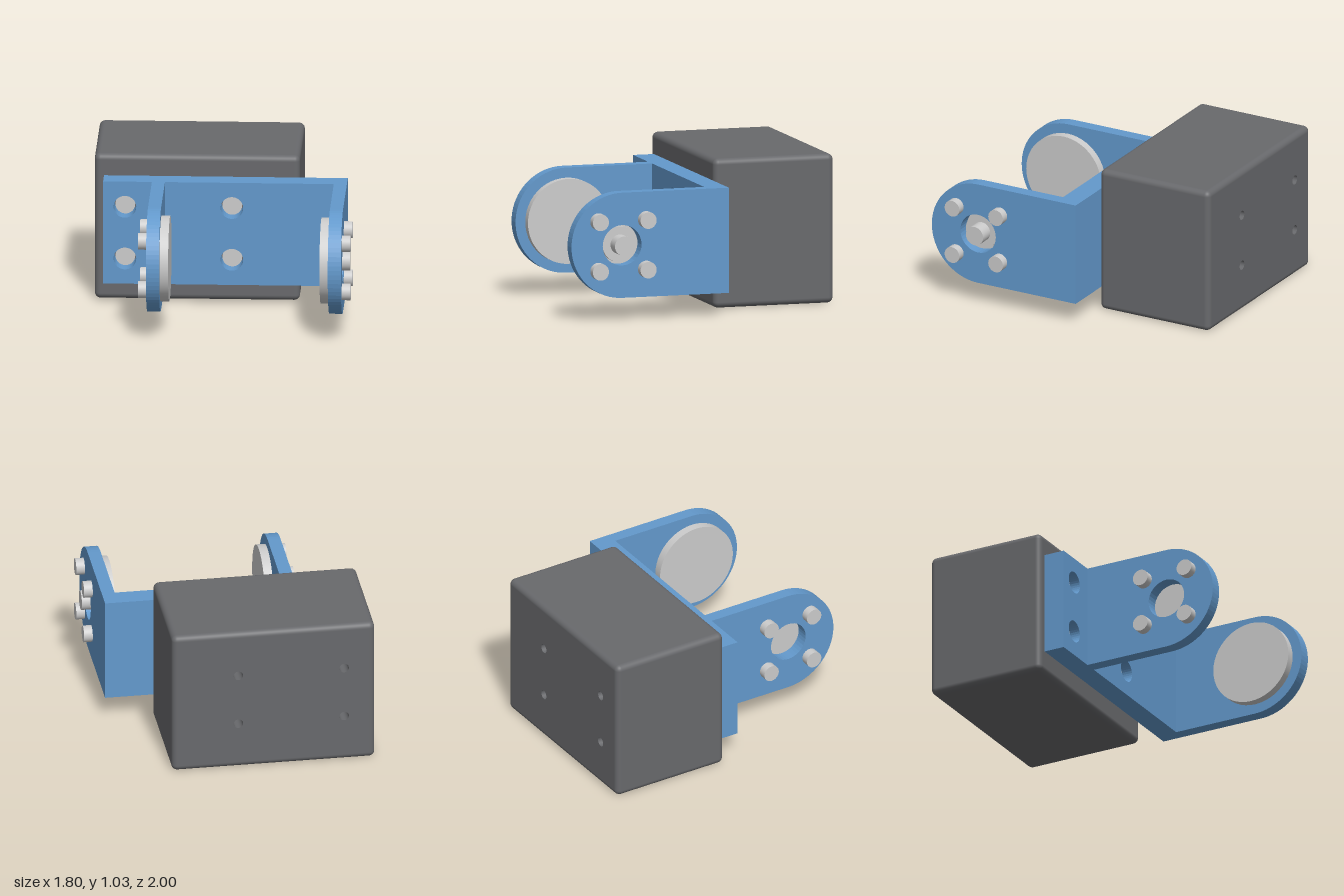
import * as THREE from 'three';
import { RoundedBoxGeometry } from 'three/addons/geometries/RoundedBoxGeometry.js';

const blue = new THREE.MeshStandardMaterial({ color: 0x6399cc });
const dark = new THREE.MeshStandardMaterial({ color: 0x68696c, side: THREE.DoubleSide });
const grey = new THREE.MeshStandardMaterial({ color: 0xcccccc });

const AXIS_Y = 0.52, AXIS_Z = 0.635;   // hinge axis, parallel to x
const MOUNT_X = [-0.685, 0.05], MOUNT_Y = [0.335, 0.705];

function add(parent, name, geometry, material, x = 0, y = 0, z = 0) {
  const mesh = new THREE.Mesh(geometry, material);
  mesh.name = name;
  mesh.position.set(x, y, z);
  parent.add(mesh);
  return mesh;
}

function punch(shape, x, y, r) {
  const hole = new THREE.Path();
  hole.absarc(x, y, r, 0, Math.PI * 2, true);
  shape.holes.push(hole);
}

function rectangle(x0, y0, x1, y1) {
  return new THREE.Shape([[x0, y0], [x1, y0], [x1, y1], [x0, y1]].map(p => new THREE.Vector2(...p)));
}

// Cylinder lying along x between x0 and x1
function pinX(parent, name, r, x0, x1, y, z, sides = 32) {
  const geo = new THREE.CylinderGeometry(r, r, x1 - x0, sides).rotateZ(Math.PI / 2);
  return add(parent, name, geo, grey, (x0 + x1) / 2, y, z);
}

function eachMount(fn) {
  for (const x of MOUNT_X) for (const y of MOUNT_Y) fn(x, y);
}

// Rounded housing whose flat back panel is swapped for one with blind holes
function makeHousing() {
  const group = new THREE.Group();
  group.name = 'housing';
  const w = 1.41, h = 1.035, d = 0.865, r = 0.04, cx = -0.195, cy = h / 2, back = -1;
  const box = new RoundedBoxGeometry(w, h, d, 4, r);
  const shell = new THREE.BufferGeometry();
  const pos = box.attributes.position, nor = box.attributes.normal;
  const keptPos = [], keptNor = [];
  for (let i = 0; i < pos.count; i += 3) {
    if ([0, 1, 2].every(k => pos.getZ(i + k) < -d / 2 + 1e-5)) continue;
    for (let k = i; k < i + 3; k++) {
      keptPos.push(pos.getX(k), pos.getY(k), pos.getZ(k));
      keptNor.push(nor.getX(k), nor.getY(k), nor.getZ(k));
    }
  }
  shell.setAttribute('position', new THREE.Float32BufferAttribute(keptPos, 3));
  shell.setAttribute('normal', new THREE.Float32BufferAttribute(keptNor, 3));
  add(group, 'housingShell', shell, dark, cx, cy, back + d / 2);

  // Panel is drawn mirrored in x, then turned to face backwards
  const panel = rectangle(-cx - w / 2 + r, r, -cx + w / 2 - r, h - r);
  const holeR = 0.033, depth = 0.2;
  eachMount((x, y) => {
    punch(panel, -x, y, holeR);
    const wall = new THREE.CylinderGeometry(holeR, holeR, depth, 24, 1, true).rotateX(Math.PI / 2);
    add(group, 'backHoleWall', wall, dark, x, y, back + depth / 2);
    add(group, 'backHoleFloor', new THREE.CircleGeometry(holeR, 24).rotateY(Math.PI), dark, x, y, back + depth);
  });
  add(group, 'backPanel', new THREE.ShapeGeometry(panel, 12).rotateY(Math.PI), dark, 0, 0, back);
  return group;
}

// Mounting plate with recessed screws
function makePlate() {
  const group = new THREE.Group();
  group.name = 'mountingPlate';
  const shape = rectangle(-0.835, 0.155, 0.84, 0.885);
  eachMount((x, y) => {
    punch(shape, x, y, 0.078);
    const head = new THREE.CylinderGeometry(0.068, 0.068, 0.08, 32).rotateX(Math.PI / 2);
    add(group, 'plateScrew', head, grey, x, y, -0.095);
  });
  const geo = new THREE.ExtrudeGeometry(shape, { depth: 0.15, bevelEnabled: false, curveSegments: 16 });
  add(group, 'plate', geo, blue, 0, 0, -0.135);
  return group;
}

// Round-ended arm; side is +1 when its outer face looks to +x
function makeArm(name, outerX, side) {
  const group = new THREE.Group();
  group.name = name;
  const R = 0.365, t = 0.09, innerX = outerX - side * t;
  const shape = new THREE.Shape();
  shape.moveTo(0.015, AXIS_Y - R);
  shape.lineTo(AXIS_Z, AXIS_Y - R);
  shape.absarc(AXIS_Z, AXIS_Y, R, -Math.PI / 2, Math.PI / 2, false);
  shape.lineTo(0.015, AXIS_Y + R);
  shape.closePath();
  punch(shape, AXIS_Z, AXIS_Y, 0.14);
  const geo = new THREE.ExtrudeGeometry(shape, { depth: t, bevelEnabled: false, curveSegments: 18 });
  geo.rotateY(-Math.PI / 2);
  add(group, 'armPlate', geo, blue, Math.max(outerX, innerX));

  const span = (a, b) => [Math.min(a, b), Math.max(a, b)];
  pinX(group, 'hornDisc', 0.295, ...span(innerX, innerX - side * 0.06), AXIS_Y, AXIS_Z, 48);
  for (const dy of [-0.172, 0.172]) for (const dz of [-0.172, 0.172])
    pinX(group, 'armScrew', 0.058, ...span(outerX, outerX + side * 0.06), AXIS_Y + dy, AXIS_Z + dz);
  return group;
}

export function createModel() {
  const model = new THREE.Group();
  model.name = 'servoBracket';
  const leftArm = makeArm('leftArm', 0.84, 1);
  // Output boss and centre screw on the driven side
  pinX(leftArm, 'outputBoss', 0.125, 0.74, 0.79, AXIS_Y, AXIS_Z);
  pinX(leftArm, 'centreScrew', 0.068, 0.78, 0.89, AXIS_Y, AXIS_Z);
  model.add(makeHousing(), makePlate(), leftArm, makeArm('rightArm', -0.5, -1));
  return model;
}
